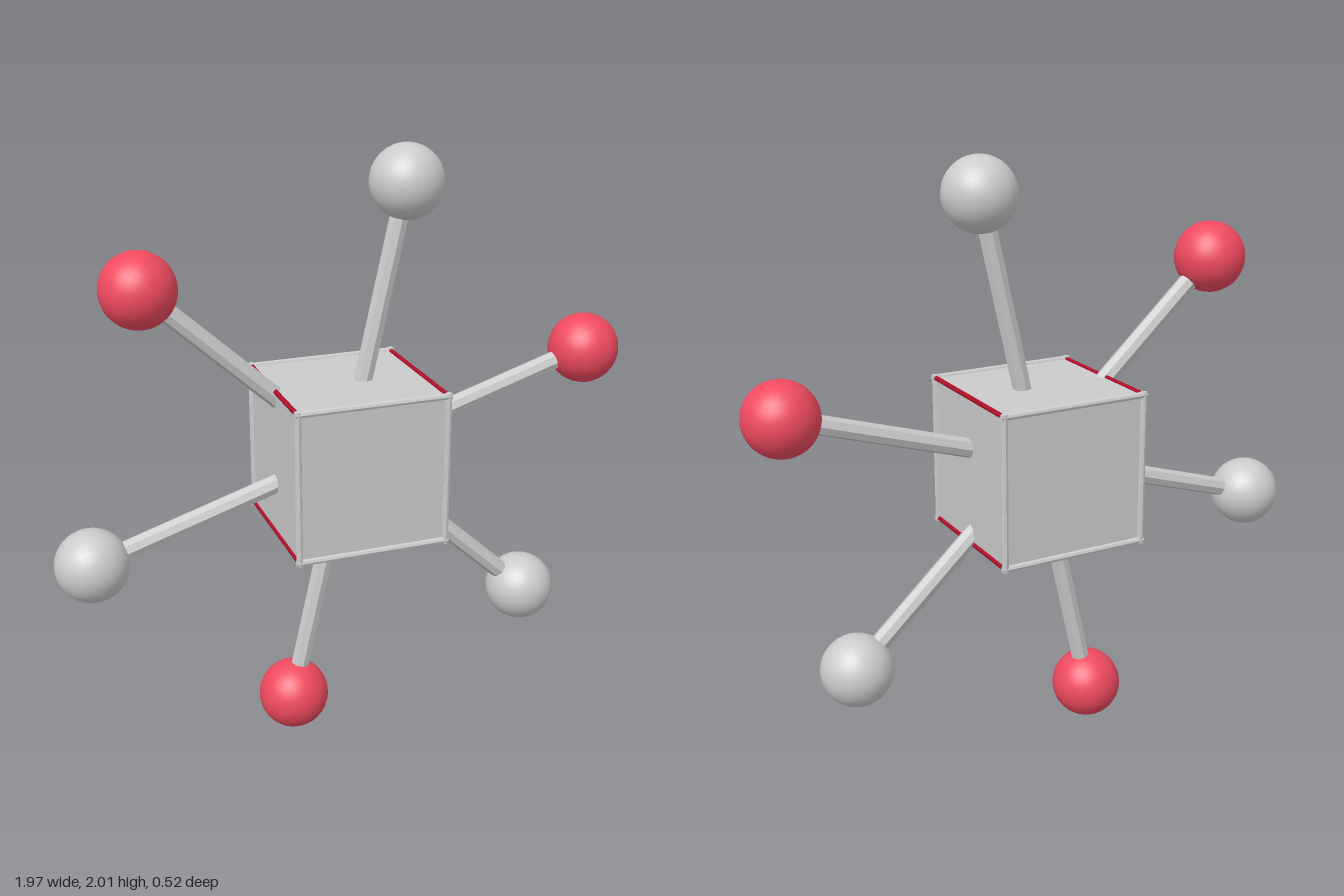
import * as THREE from 'three';

export function createModel() {
  const model = new THREE.Group();
  const grey = new THREE.MeshStandardMaterial({ color: 0xcccccc });
  const greyFacets = new THREE.MeshStandardMaterial({ color: 0xcccccc, flatShading: true });
  const red = new THREE.MeshStandardMaterial({ color: 0xf04a60 });
  const darkRed = new THREE.MeshStandardMaterial({ color: 0xb01028 });
  const half = 0.25;
  const centre = new THREE.Group();
  centre.name = 'body';
  centre.position.y = 1;
  model.add(centre);

  function add(parent, name, geometry, material) {
    const mesh = new THREE.Mesh(geometry, material);
    mesh.name = name;
    parent.add(mesh);
    return mesh;
  }

  // Central cube
  add(centre, 'cube', new THREE.BoxGeometry(2 * half, 2 * half, 2 * half), grey);

  // Edge trim: grey bars along x and y, thin red bars along z
  const bar = new THREE.CylinderGeometry(0.011, 0.011, 2 * half + 0.02, 8);
  const redBar = new THREE.CylinderGeometry(0.008, 0.008, 2 * half, 8);
  for (const a of [-half, half]) {
    for (const b of [-half, half]) {
      add(centre, 'uprightEdge', bar, greyFacets).position.set(a, 0, b);
      const across = add(centre, 'crossEdge', bar, greyFacets);
      across.rotation.z = Math.PI / 2;
      across.position.set(0, a, b);
      const deep = add(centre, 'redEdge', redBar, darkRed);
      deep.rotation.x = Math.PI / 2;
      deep.position.set(a, b, 0);
    }
  }

  // Six arms fanned around the z axis, with alternating red and grey balls
  const reach = 0.905;
  const rod = new THREE.CylinderGeometry(0.032, 0.032, reach - 0.1, 8);
  const ball = new THREE.SphereGeometry(0.12, 32, 20);
  for (let i = 0; i < 6; i++) {
    const arm = new THREE.Group();
    arm.name = 'arm';
    arm.rotation.z = THREE.MathUtils.degToRad(17.3 + 60 * i - 90);
    add(arm, 'rod', rod, greyFacets).position.y = (reach + 0.1) / 2;
    add(arm, 'ball', ball, i % 2 ? grey : red).position.y = reach;
    centre.add(arm);
  }
  return model;
}
